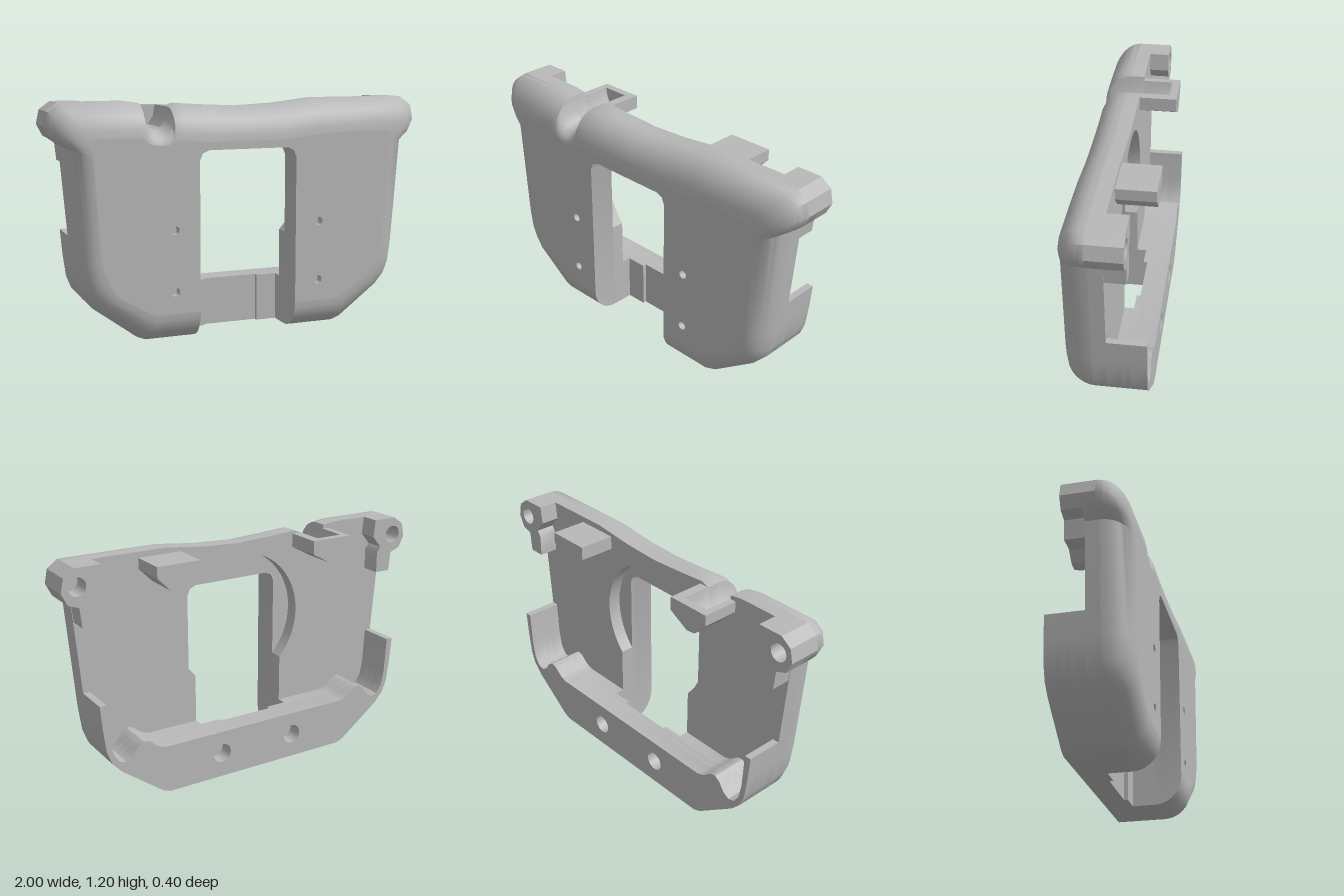
import * as THREE from 'three';
import { toCreasedNormals } from 'three/addons/utils/BufferGeometryUtils.js';

const BACK = -0.01, MID = 0.06, FRONT = 0.2;

export function createModel() {
  const model = new THREE.Group();
  const grey = new THREE.MeshStandardMaterial({ color: 0xb8b8b8 });
  grey.name = 'plain grey';

  const add = (name, geometry, crease = 0.6) => {
    const mesh = new THREE.Mesh(toCreasedNormals(geometry, crease), grey);
    mesh.name = name;
    model.add(mesh);
    return mesh;
  };
  const toShape = (pts, holes = []) => {
    const shape = new THREE.Shape(pts.map(([x, y]) => new THREE.Vector2(x, y)));
    for (const [x, y, r] of holes) shape.holes.push(new THREE.Path().absarc(x, y, r, 0, Math.PI * 2, true));
    return shape;
  };
  // prism of an outline between two depths
  const slab = (name, pts, z0, z1, holes = []) => {
    const g = new THREE.ExtrudeGeometry(toShape(pts, holes), { depth: z1 - z0, bevelEnabled: false, curveSegments: 16 });
    return add(name, g.translate(0, 0, z0));
  };
  const mirror = (pts) => pts.map(([x, y, ...rest]) => [-x, y, ...(rest.length ? [-rest[0], rest[1]] : [])]).reverse();

  // outer x, y at the rim and inner x, y at the front face
  const side = [
    [0.26, 0, 0.26, 0.15], [0.52, 0, 0.48, 0.15], [0.56, 0.015, 0.52, 0.16],
    [0.78, 0.18, 0.68, 0.26], [0.83, 0.235, 0.72, 0.32], [0.855, 0.3, 0.745, 0.38],
    [0.87, 0.42, 0.76, 0.44], [0.915, 0.99, 0.79, 0.94], [0.97, 1.03, 0.8, 0.97],
    [1, 1.09, 0.81, 0.99], [0.985, 1.16, 0.81, 1.01], [0.93, 1.2, 0.79, 1.03], [0.6, 1.2, 0.55, 1.03],
  ];
  const top = [
    [0.42, 1.2, 0.4, 1.02], [0.2, 1.175, 0.2, 1], [0, 1.165, 0, 1], [-0.2, 1.175, -0.2, 1],
    [-0.34, 1.185, -0.34, 1.01],
  ];
  const notch = [[-0.38, 1.17], [-0.39, 1.11], [-0.42, 1.07], [-0.455, 1.06], [-0.49, 1.075], [-0.515, 1.12], [-0.53, 1.19]];
  const rim = [...side, ...top, ...notch.map(([x, y]) => [x, y, x, 0.99 + (y - 1.06) * 0.2]), ...mirror(side)];

  // window edge, and the same edge widened by the round recess
  const windowTop = [[-0.26, 0.91], [-0.245, 0.945], [-0.21, 0.96], [0.21, 0.96], [0.245, 0.945], [0.26, 0.91]];
  const recess = [];
  const start = Math.asin(0.26 / 0.36);
  for (let i = 0; i <= 36; i++) {
    const a = start + (i / 36) * (Math.PI * 2 - 2 * start);
    recess.push([-0.36 * Math.sin(a), 0.75 - 0.36 * Math.cos(a)]);
  }

  // back layer of the body
  slab('bodyBack', [...rim, ...recess], BACK, MID);

  // rounded front shell, swept from the rim to the front face
  const loop = [...rim, ...windowTop.map(([x, y]) => [x, y, x, y])];
  const n = loop.length, steps = 7, pos = [], index = [];
  for (let k = 0; k <= steps; k++) {
    const t = (k / steps) * Math.PI / 2, f = 1 - Math.cos(t);
    for (const [ox, oy, ix, iy] of loop) {
      pos.push(ox + (ix - ox) * f, oy + (iy - oy) * f, MID + (FRONT - MID) * Math.sin(t));
    }
  }
  for (let k = 0; k < steps; k++) {
    for (let i = 0; i < n; i++) {
      const j = (i + 1) % n, a = k * n + i, b = k * n + j;
      index.push(a, b, b + n, a, b + n, a + n);
    }
  }
  const shell = new THREE.BufferGeometry();
  shell.setAttribute('position', new THREE.Float32BufferAttribute(pos, 3));
  shell.setIndex(index);
  add('bodyShell', shell, 0.7);

  // front face with four blind screw holes, and the recess floor
  const screws = [[-0.39, 0.57], [0.39, 0.57], [-0.39, 0.26], [0.39, 0.26]];
  const face = new THREE.ShapeGeometry(toShape(loop.map((p) => [p[2], p[3]]), screws.map(([x, y]) => [x, y, 0.022])), 16);
  add('frontFace', face.translate(0, 0, FRONT));
  add('recessFloor', new THREE.ShapeGeometry(toShape(loop)).rotateY(Math.PI).scale(-1, 1, 1)
    .translate(0, 0, MID)).material = grey;
  const floor = model.children[model.children.length - 1].geometry;
  // turn the recess floor to face backwards
  const p = floor.attributes.position;
  for (let i = 0; i < p.count; i += 3) {
    const ax = p.getX(i), ay = p.getY(i), bx = p.getX(i + 1), by = p.getY(i + 1), cx = p.getX(i + 2), cy = p.getY(i + 2);
    if ((bx - ax) * (cy - ay) - (by - ay) * (cx - ax) > 0) {
      p.setXY(i + 1, cx, cy);
      p.setXY(i + 2, bx, by);
    }
  }
  floor.computeVertexNormals();

  // screw hole walls and bottoms
  const holeProfile = [[0.0001, -0.05], [0.022, -0.05], [0.022, 0]].map(([x, y]) => new THREE.Vector2(x, y));
  for (const [x, y] of screws) {
    const g = new THREE.LatheGeometry(holeProfile, 16).rotateX(Math.PI / 2).translate(x, y, FRONT);
    const hole = add('screwHole', g);
    hole.material = holeMaterial(grey);
  }

  // round port on the lower corner
  const port = add('cornerPort', new THREE.CylinderGeometry(0.053, 0.053, 0.02, 24).rotateX(Math.PI / 2));
  port.position.set(0.62, 0.17, 0.155);
  port.lookAt(0.62 + 0.5, 0.17 - 0.6, 0.155 + 0.95);

  // lower shelf with scalloped ends and thin side walls
  const outer = [...side.slice(1, 7).map(([x, y]) => [x, y]), [0.88, 0.545]];
  const inner = [
    [0.845, 0.545], [0.835, 0.36], [0.82, 0.28], [0.79, 0.235], [0.755, 0.225], [0.72, 0.245],
    [0.69, 0.29], [0.66, 0.31], [0.63, 0.305], [0.58, 0.265], [0.54, 0.25],
  ];
  const half = [...outer, ...inner];
  const shelf = [...half, ...mirror(half)];
  slab('shelfBack', shelf, -0.2, -0.12, [[0.215, 0.13, 0.05], [-0.215, 0.13, 0.05]]);
  slab('shelfCore', shelf, -0.12, -0.08);
  const shelfEnd = [[0.26, 0], ...half, [0.26, 0.25]];
  const slotStep = [[0.15, 0], [0.26, 0], [0.26, 0.25], [0.15, 0.25]];

  // ear block with a downward tab and a round socket
  const ear = [
    [0.82, 0.91], [0.905, 0.91], [0.915, 1.01], [0.97, 1.03], [1, 1.09], [0.985, 1.16], [0.93, 1.2],
    [0.8, 1.2], [0.79, 1.11], [0.84, 1.05], [0.82, 1.02],
  ];
  for (const s of [1, -1]) {
    const place = (pts) => (s > 0 ? pts : mirror(pts));
    slab('shelfEnd', place(shelfEnd), -0.08, BACK);
    slab('slotStep', place(slotStep), -0.08, -0.06);
    slab('ear', place(ear), -0.11, BACK, [[s * 0.92, 1.11, 0.045]]);
  }

  // rear pegs; the second carries the open channel
  const peg = [[0.33, 1.17], [0.33, 1.1], [0.44, 1.04], [0.49, 1.045], [0.56, 1.115], [0.56, 1.17]];
  slab('peg', peg, -0.2, BACK);
  const pegMirrored = mirror(peg);
  slab('channelEnd', pegMirrored, -0.2, -0.16);
  const channel = [...notch.slice(0, -1), [-0.525, 1.17]].reverse();
  slab('channelPeg', [...pegMirrored, ...channel.reverse()], -0.16, BACK);

  // centre footprint and base
  model.updateMatrixWorld(true);
  return model;
}

// double-sided use of the one grey for open hole linings
function holeMaterial(material) {
  material.side = THREE.DoubleSide;
  return material;
}
